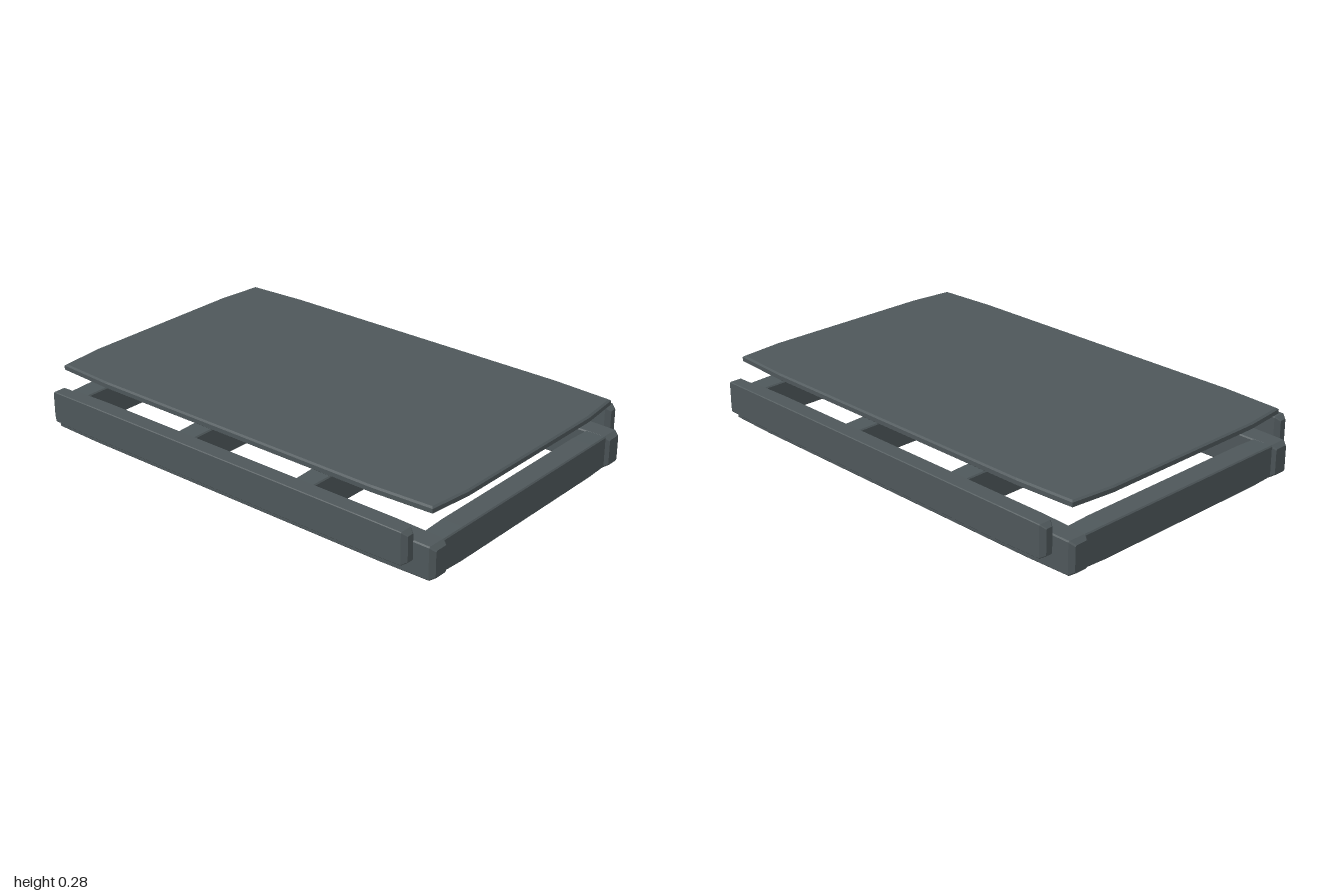
import * as THREE from 'three';
import { ConvexGeometry } from 'three/addons/geometries/ConvexGeometry.js';

const darkSlate = new THREE.MeshStandardMaterial({ color: 0x4e575a });
darkSlate.name = 'darkSlate';

// Beam along x: bevelled section, tapered ends and a very slight swell in the middle
function beamGeometry(length, height, depth, bevel) {
  const half = length / 2;
  const stations = [[half, 0.017], [half - 0.022, 0.003], [half * 0.76, 0]];
  const points = [];
  for (const [x, inset] of stations) {
    const h = height / 2 - inset, d = depth / 2 - inset;
    for (const sx of [-1, 1]) for (const sy of [-1, 1]) for (const sz of [-1, 1]) {
      points.push(new THREE.Vector3(sx * x, sy * h, sz * (d - bevel)));
      points.push(new THREE.Vector3(sx * x, sy * (h - bevel), sz * d));
    }
  }
  return new ConvexGeometry(points);
}

// Panel with bowed sides and slim bevelled edges
function panelGeometry() {
  const corner = [[0.985, 0.4], [0.965, 0.59], [0.7, 0.605]];
  const points = [];
  for (const [x, z] of corner) {
    for (const sx of [-1, 1]) for (const sz of [-1, 1]) for (const sy of [-1, 1]) {
      points.push(new THREE.Vector3(sx * x, sy * 0.009, sz * z));
      points.push(new THREE.Vector3(sx * (x - 0.008), sy * 0.015, sz * (z - 0.008)));
    }
  }
  return new ConvexGeometry(points);
}

export function createModel() {
  const group = new THREE.Group();
  const add = (name, geometry, x, y, z, turn = 0) => {
    const mesh = new THREE.Mesh(geometry, darkSlate);
    mesh.name = name;
    mesh.position.set(x, y, z);
    mesh.rotation.y = turn;
    group.add(mesh);
  };

  // Long frame rails and the raised side boards outside them
  const rail = beamGeometry(2, 0.146, 0.096, 0.005);
  const board = beamGeometry(1.865, 0.142, 0.064, 0.003);
  for (const [side, s] of [['front', 1], ['back', -1]]) {
    add(side + 'Rail', rail, 0, 0.073, s * 0.577);
    add(side + 'Board', board, 0, 0.144, s * 0.671);
  }

  // End beams and inner cross beams, let into the rails
  const cross = beamGeometry(1.13, 0.144, 0.1, 0.005);
  for (const [side, s] of [['left', 1], ['right', -1]]) {
    add(side + 'EndBeam', cross, s * 0.937, 0.074, 0, Math.PI / 2);
    add(side + 'CrossBeam', cross, s * 0.315, 0.074, 0, Math.PI / 2);
  }

  // Floating top panel
  add('topPanel', panelGeometry(), 0, 0.27, 0);
  return group;
}
